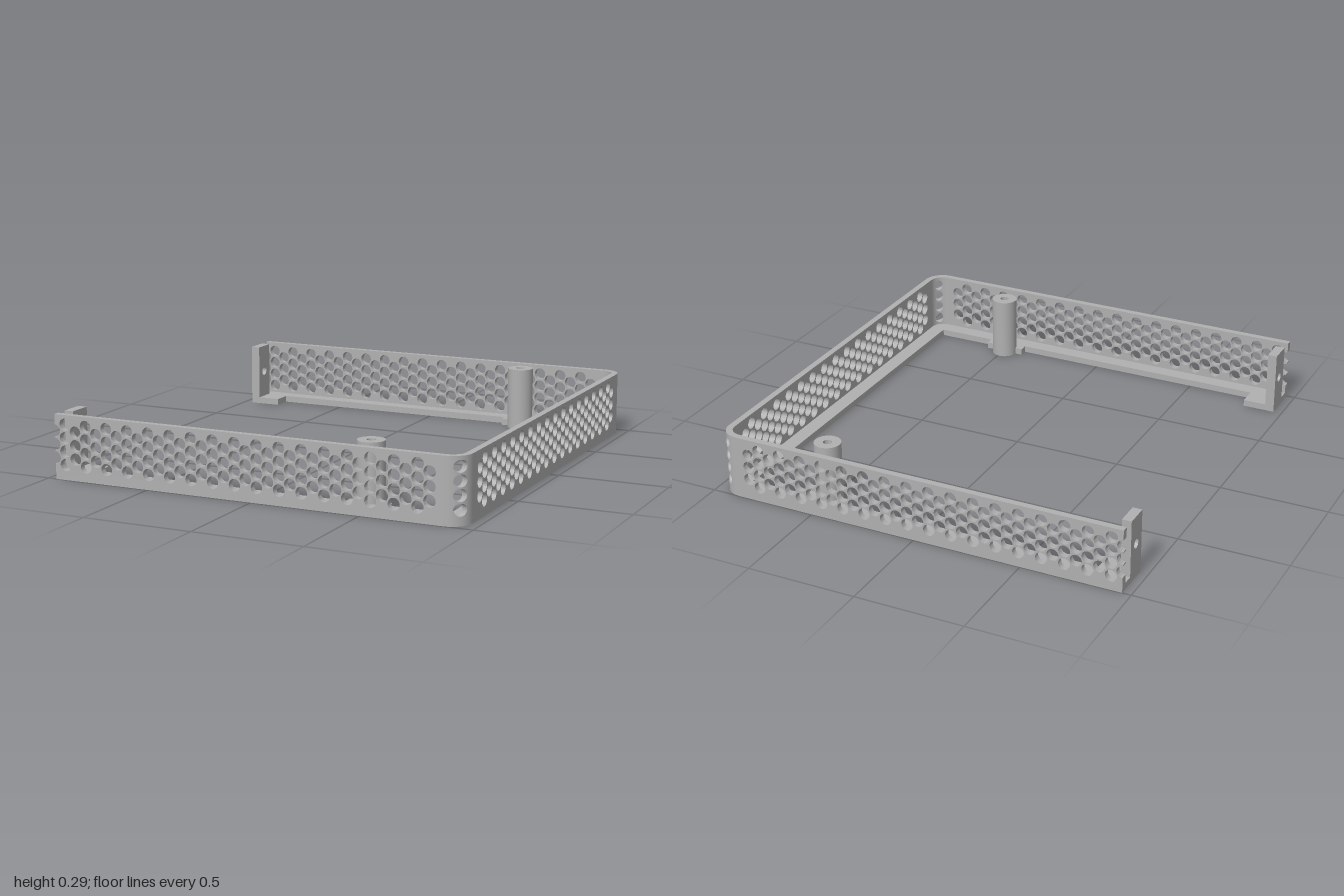
import * as THREE from 'three';
import { toCreasedNormals, mergeGeometries } from 'three/addons/utils/BufferGeometryUtils.js';

const H = 0.29, R = 0.027, PITCH = 0.06, STEP = 0.1042, T = 0.03;
const ROWS4 = [0, 1, 2, 3].map(i => 0.067 + i * PITCH);
const ROWS3 = [0, 1, 2].map(i => 0.097 + i * PITCH);

function extrude(shape, depth) {
  const g = new THREE.ExtrudeGeometry(shape, { depth, bevelEnabled: false, curveSegments: 10 });
  return toCreasedNormals(g, 0.6);
}

function addHole(shape, x, y, r) {
  const p = new THREE.Path();
  p.absarc(x, y, r, 0, Math.PI * 2, true);
  shape.holes.push(p);
}

function addColumns(shape, start, count, rows) {
  for (let i = 0; i < count; i++) for (const y of rows) addHole(shape, start + i * STEP, y, R);
}

// Long wall with half holes notched into its free end
function longWall() {
  const s = new THREE.Shape();
  s.moveTo(-0.96, 0);
  s.lineTo(0.87, 0);
  s.lineTo(0.87, H);
  s.lineTo(-0.96, H);
  for (const y of [...ROWS3].reverse()) {
    s.lineTo(-0.96, y + R);
    s.absarc(-0.96, y, R, Math.PI / 2, -Math.PI / 2, true);
  }
  s.lineTo(-0.96, 0);
  addColumns(s, -0.909, 17, ROWS4);
  addColumns(s, -0.857, 17, ROWS3);
  return extrude(s, T);
}

function rectangle(x0, x1, y0, y1) {
  return new THREE.Shape([[x0, y0], [x1, y0], [x1, y1], [x0, y1]].map(p => new THREE.Vector2(...p)));
}

function sideWall() {
  const s = rectangle(-0.91, 0.91, 0, H);
  addColumns(s, -8 * STEP, 17, ROWS3);
  addColumns(s, -7.5 * STEP, 16, ROWS4);
  return extrude(s, T).rotateY(Math.PI / 2);
}

// Rounded corner: bent strips that leave a column of round holes
function corner(side) {
  const mean = 0.078, half = mean * Math.PI / 4, us = [-half, -0.044];
  for (let i = 0; i <= 10; i++) us.push(-R * Math.cos(i * Math.PI / 10));
  us.push(0.044, half);
  const rise = u => Math.sqrt(Math.max(0, R * R - u * u));
  const parts = [];
  for (let j = 0; j < us.length - 1; j++) {
    for (let k = 0; k <= ROWS4.length; k++) {
      const g = new THREE.BoxGeometry(1, 1, 1);
      const p = g.attributes.position, n0 = g.attributes.normal.clone();
      const angles = [];
      for (let i = 0; i < p.count; i++) {
        const u = p.getX(i) < 0 ? us[j] : us[j + 1];
        const low = k === 0 ? 0 : ROWS4[k - 1] + rise(u);
        const high = k === ROWS4.length ? H : ROWS4[k] - rise(u);
        const y = p.getY(i) < 0 ? low : high;
        const r = p.getZ(i) < 0 ? 0.06 : 0.09;
        const a = side * Math.PI / 4 - u / mean;
        angles.push(a);
        p.setXYZ(i, 0.87 + r * Math.cos(a), y, side * 0.91 + r * Math.sin(a));
      }
      g.computeVertexNormals();
      for (let i = 0; i < p.count; i++) {
        const z = n0.getZ(i);
        if (z) g.attributes.normal.setXYZ(i, z * Math.cos(angles[i]), 0, z * Math.sin(angles[i]));
      }
      parts.push(g);
    }
  }
  return mergeGeometries(parts);
}

// Flat inner ledge with post tabs and end tabs, drawn as one half and mirrored
function ledge() {
  const half = [[0.86, 0.9], [0.585, 0.9], [0.585, 0.86]];
  for (let i = 0; i <= 8; i++) {
    const a = i * Math.PI / 8;
    half.push([0.49 + 0.03 * Math.cos(a), 0.86 + 0.03 * Math.sin(a)]);
  }
  half.push([0.395, 0.86], [0.395, 0.9], [-0.81, 0.9], [-0.81, 0.81], [-0.96, 0.81], [-0.96, 0.975]);
  for (let i = 0; i <= 8; i++) {
    const a = Math.PI / 2 * (1 - i / 8);
    half.push([0.87 + 0.065 * Math.cos(a), 0.91 + 0.065 * Math.sin(a)]);
  }
  const all = [...half, ...[...half].reverse().map(([x, y]) => [x, -y])];
  const s = new THREE.Shape(all.map(p => new THREE.Vector2(...p)));
  return extrude(s, 0.03).rotateX(-Math.PI / 2);
}

// Hollow screw post
function post() {
  const profile = [[0.02, 0], [0.06, 0], [0.06, H], [0.02, H], [0.02, 0]];
  const g = new THREE.LatheGeometry(profile.map(p => new THREE.Vector2(...p)), 32);
  return toCreasedNormals(g, 0.6);
}

// Upright end plate with a screw hole
function endPlate(side) {
  const c = side * 0.865;
  const s = rectangle(c - 0.055, c + 0.055, 0, H);
  addHole(s, c, 0.16, 0.022);
  return extrude(s, 0.043).rotateY(Math.PI / 2);
}

export function createModel() {
  const group = new THREE.Group();
  const grey = new THREE.MeshStandardMaterial({ color: 0xb0b0b0 });
  grey.name = 'grey';
  const add = (name, geometry, x = 0, y = 0, z = 0) => {
    const m = new THREE.Mesh(geometry, grey);
    m.name = name;
    m.position.set(x, y, z);
    group.add(m);
  };
  add('ledge', ledge());
  add('sideWall', sideWall(), 0.93);
  const wall = longWall(), postGeometry = post();
  for (const side of [1, -1]) {
    const end = side > 0 ? 'front' : 'back';
    add(end + 'Wall', wall, 0, 0, side > 0 ? 0.97 : -1);
    add(end + 'Corner', corner(side));
    add(end + 'Post', postGeometry, 0.49, 0, side * 0.86);
    add(end + 'EndPlate', endPlate(side), -0.96);
  }
  return group;
}
